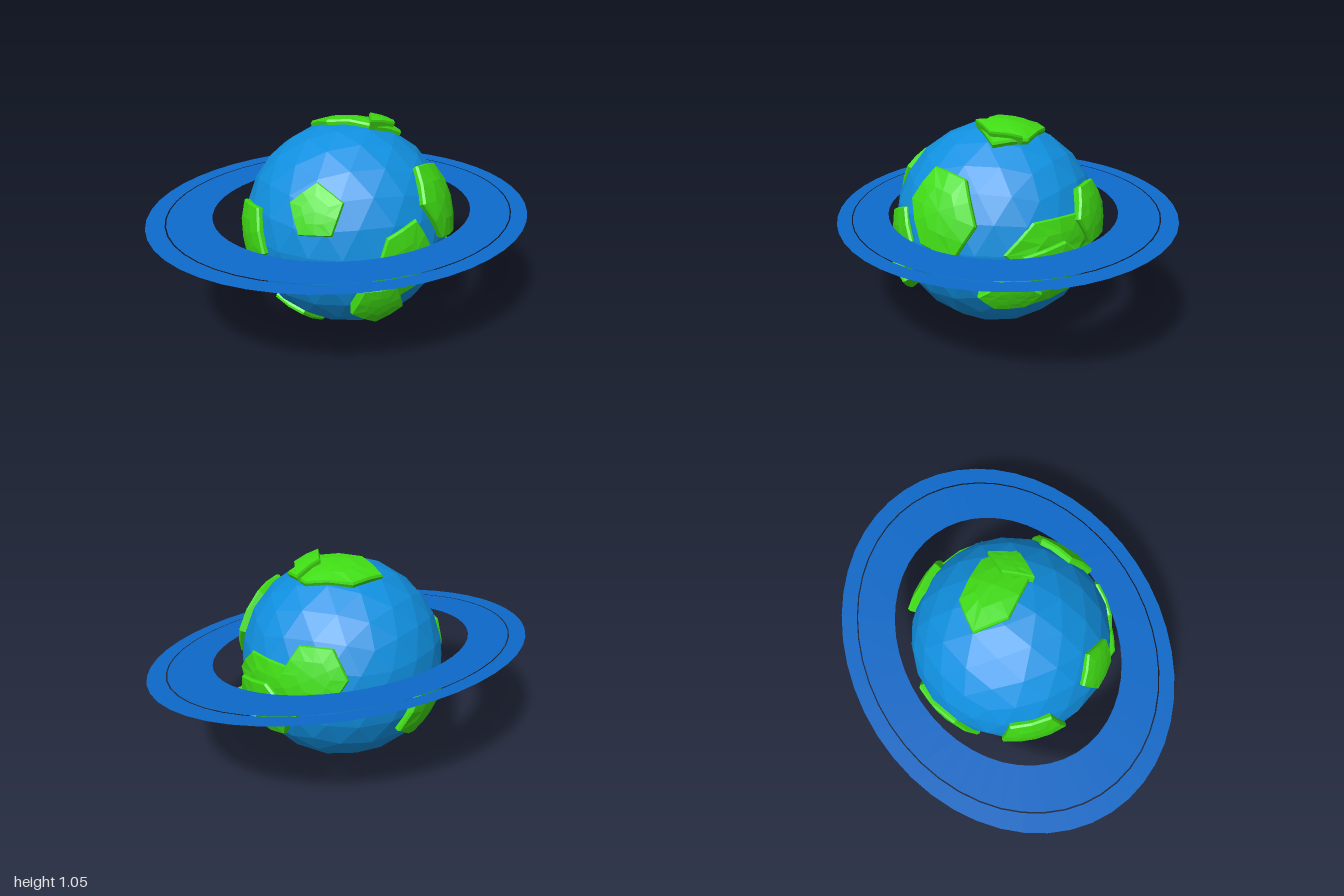
import * as THREE from 'three';

const CENTRE = new THREE.Vector3(0, 0.51, 0.015);
const mat = (color, extra = {}) => new THREE.MeshStandardMaterial({ color, flatShading: true, ...extra });

// Raised land plate facing +z: a stretched polygon laid on a sphere,
// with a bevelled rim and walls that sink into the globe.
function plateGeometry(radius, sides, length, width) {
  const corners = [];
  for (let i = 0; i < sides; i++) {
    const a = (i / sides) * Math.PI * 2;
    const x = length * Math.cos(a), y = width * Math.sin(a);
    corners.push(new THREE.Vector3(x, y, Math.sqrt(radius * radius - x * x - y * y)));
  }
  const rim = corners.flatMap((p, i) => {
    const next = corners[(i + 1) % sides];
    return [p, p.clone().lerp(next, 0.5).setLength(radius)];
  });

  // rings: inner top, top edge, bevel, foot
  const rings = [[0.5, radius], [0.95, radius], [1, radius - 0.01], [1, 0.46]];
  const middle = new THREE.Vector3(0, 0, radius);
  const n = rim.length;
  const pos = middle.toArray();
  for (const [t, r] of rings) {
    for (const p of rim) pos.push(...middle.clone().lerp(p, t).setLength(r).toArray());
  }
  const index = [];
  for (let i = 0; i < n; i++) {
    const j = (i + 1) % n;
    index.push(0, 1 + i, 1 + j);
    for (let k = 0; k < rings.length - 1; k++) {
      const a = 1 + k * n, b = a + n;
      index.push(a + i, b + i, b + j, a + i, b + j, a + j);
    }
  }
  const geo = new THREE.BufferGeometry();
  geo.setAttribute('position', new THREE.Float32BufferAttribute(pos, 3));
  geo.setIndex(index);
  const flat = geo.toNonIndexed();
  flat.computeVertexNormals();
  return flat;
}

// name, longitude, latitude, turn (degrees), then radius, sides, half length, half width
const LANDS = [
  ['frontRightIsland', -51, 24.5, 95, 0.53, 5, 0.135, 0.135],
  ['frontLeftContinent', 34, 20.5, 115, 0.535, 6, 0.225, 0.175],
  ['frontContinent', -3, -5.5, 70, 0.522, 6, 0.215, 0.155],
  ['frontPlateau', -17, -24.5, -88, 0.565, 5, 0.135, 0.135],
  ['sideContinent', 100, 1, 0, 0.516, 6, 0.27, 0.16],
  ['sidePlateau', 93, -13, 12, 0.535, 6, 0.22, 0.165],
  ['sideRearPlateau', 129, 14, 0, 0.54, 6, 0.16, 0.16],
  ['sideFrontPlateau', 72, -21, 0, 0.56, 6, 0.15, 0.075],
  ['polarContinent', 120, 79, 12, 0.53, 6, 0.235, 0.15],
  ['polarPlateau', 68.5, 71.5, -38, 0.555, 4, 0.137, 0.072],
  ['backContinent', -158, -17.5, -88, 0.53, 5, 0.195, 0.225],
  ['farSideContinent', -100, 1, -84, 0.53, 5, 0.19, 0.175],
  ['southIsland', -96, -56, 90, 0.525, 5, 0.15, 0.15],
];

export function createModel() {
  const model = new THREE.Group();
  model.name = 'ringedPlanet';

  // Faceted globe with a vertex at each pole
  const globe = new THREE.Mesh(new THREE.IcosahedronGeometry(0.507, 3), mat(0x1090e0));
  globe.geometry.rotateZ(-Math.atan(2 / (1 + Math.sqrt(5))));
  globe.position.copy(CENTRE);
  globe.name = 'globe';
  model.add(globe);

  // Land plates, each swung out to its place on the globe
  const land = new THREE.Group();
  land.name = 'land';
  land.position.copy(CENTRE);
  const green = mat(0x40dc14);
  const rad = THREE.MathUtils.degToRad;
  for (const [name, longitude, latitude, turn, ...shape] of LANDS) {
    const plate = new THREE.Mesh(plateGeometry(...shape), green);
    plate.name = name;
    plate.rotation.set(-rad(latitude), rad(longitude), rad(turn), 'YXZ');
    land.add(plate);
  }
  model.add(land);

  // Two thin oval rings with a narrow gap, tilted up at the back
  const rings = new THREE.Group();
  rings.name = 'rings';
  const ringMat = mat(0x0d6acb, { side: THREE.DoubleSide });
  for (const [name, inner, outer] of [['innerRing', 0.683, 0.903], ['outerRing', 0.91, 1]]) {
    const geo = new THREE.RingGeometry(inner, outer, 48, 1);
    geo.rotateX(-Math.PI / 2).scale(1, 1, 0.8);
    const mesh = new THREE.Mesh(geo, ringMat);
    mesh.name = name;
    rings.add(mesh);
  }
  rings.position.y = 0.58;
  rings.rotation.x = 0.0875;
  model.add(rings);

  return model;
}
